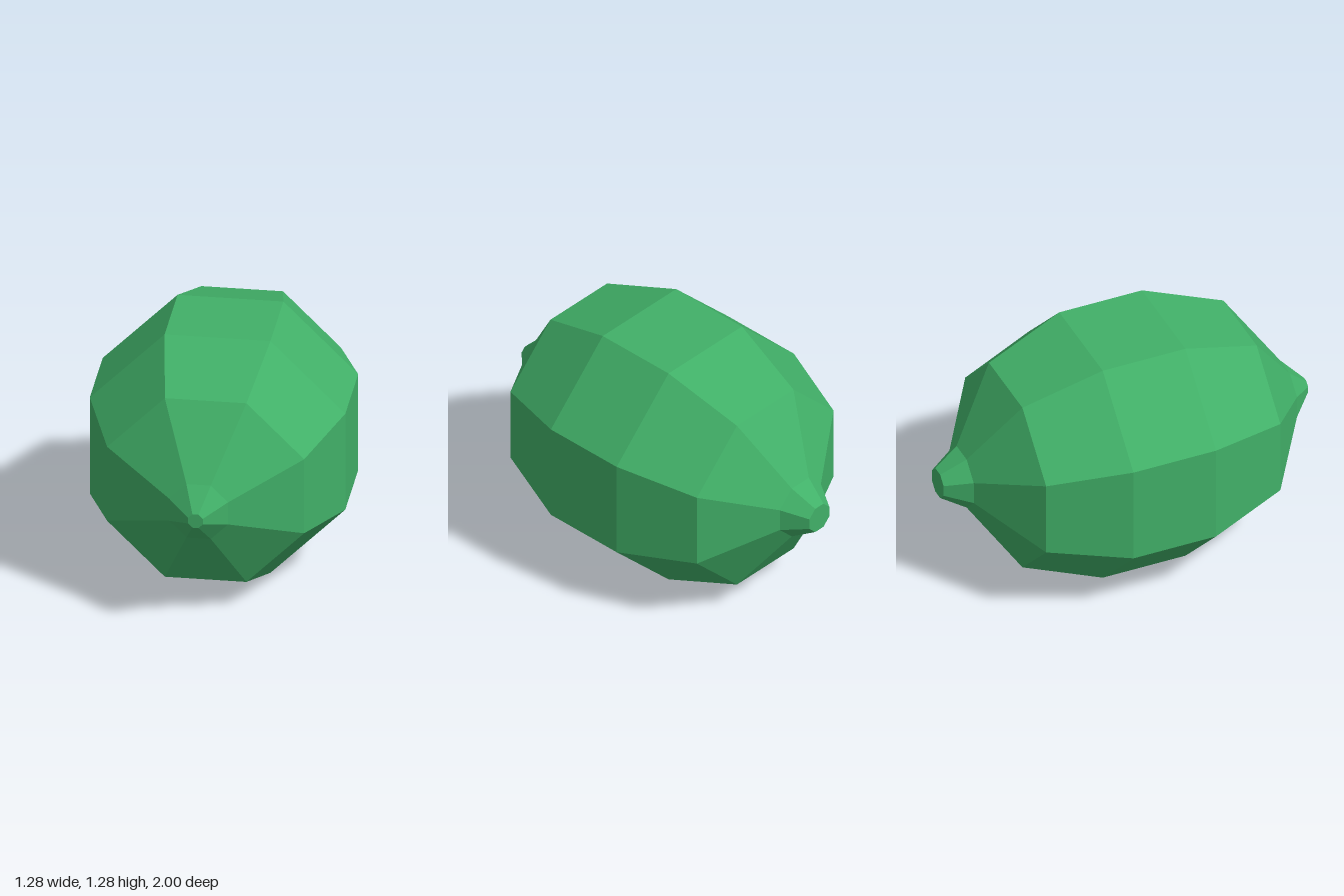
import * as THREE from 'three';

const SIDES = 8;
const CENTER_Y = 0.642;
// [distance from axis to a flat side, z], back tip to front tip
const PROFILE = [[0.072, -1], [0.149, -0.87], [0.495, -0.63], [0.642, -0.22],
  [0.642, 0.23], [0.495, 0.645], [0.148, 0.89], [0.037, 1]];
const toCorner = (flat) => flat / Math.cos(Math.PI / SIDES);

function faceted(geometry) {
  const g = geometry.toNonIndexed();
  g.computeVertexNormals();
  return g;
}

export function createModel() {
  const group = new THREE.Group();
  group.name = 'fruit';
  const green = new THREE.MeshStandardMaterial({ color: 0x41b068 });
  green.name = 'leaf green';

  // Eight-sided body lying along z
  const points = PROFILE.map(([r, z]) => new THREE.Vector2(toCorner(r), z));
  const bodyGeometry = new THREE.LatheGeometry(points, SIDES, Math.PI / SIDES);
  bodyGeometry.rotateX(Math.PI / 2);
  const body = new THREE.Mesh(faceted(bodyGeometry), green);
  body.name = 'body';
  body.position.y = CENTER_Y;
  group.add(body);

  // Flat ends: small tip in front, wider stem end behind
  const addCap = (name, [r, z]) => {
    const cap = new THREE.Mesh(new THREE.CircleGeometry(toCorner(r), SIDES, Math.PI / SIDES), green);
    cap.name = name;
    cap.position.set(0, CENTER_Y, z);
    if (z < 0) cap.rotation.y = Math.PI;
    group.add(cap);
  };
  addCap('stemEnd', PROFILE[0]);
  addCap('frontTip', PROFILE[PROFILE.length - 1]);
  return group;
}
